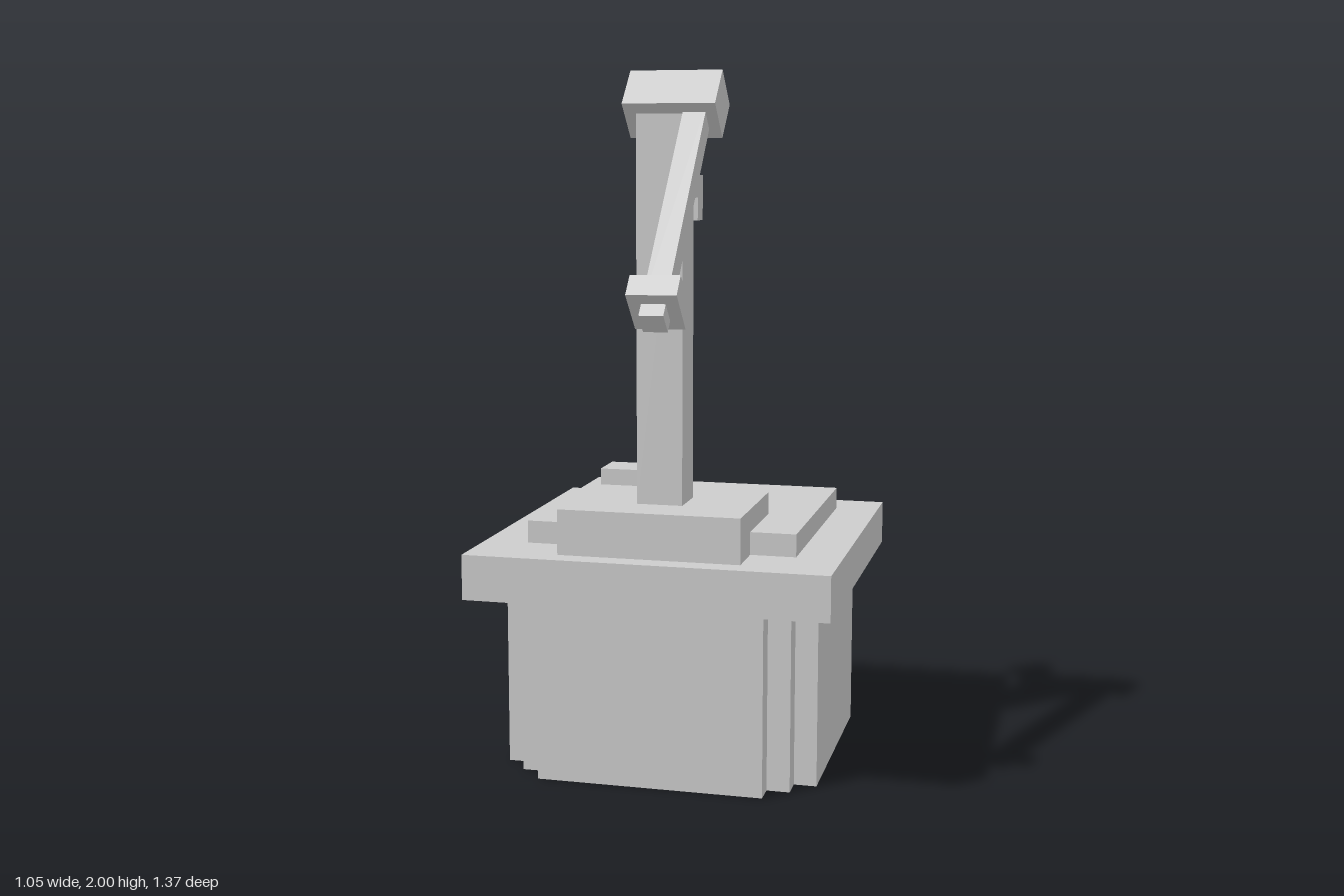
import * as THREE from 'three';

export function createModel() {
  const model = new THREE.Group();
  const grey = new THREE.MeshStandardMaterial({ color: 0xcccccc });
  grey.name = 'light grey';
  grey.flatShading = true;

  const add = (name, geometry, parent = model) => {
    const mesh = new THREE.Mesh(geometry, grey);
    mesh.name = name;
    parent.add(mesh);
    return mesh;
  };
  // box given by its lower and upper bounds on each axis
  const box = (name, [x0, x1], [y0, y1], [z0, z1], parent = model) => {
    const mesh = add(name, new THREE.BoxGeometry(x1 - x0, y1 - y0, z1 - z0), parent);
    mesh.position.set((x0 + x1) / 2, (y0 + y1) / 2, (z0 + z1) / 2);
    return mesh;
  };

  // well body: a block with two-step notched corners
  const [a, b, c] = [0.327, 0.393, 0.458];
  const quarter = [[c, -a], [c, a], [b, a], [b, b], [a, b], [a, c]];
  const outline = [
    ...quarter.slice(1),
    ...quarter.slice(1).reverse().map(([x, y]) => [-x, y]),
    ...quarter.slice(1).map(([x, y]) => [-x, -y]),
    ...quarter.slice(1).reverse().map(([x, y]) => [x, -y]),
  ].map(([x, y]) => new THREE.Vector2(x, y));
  const body = new THREE.ExtrudeGeometry(new THREE.Shape(outline), { depth: 0.53, bevelEnabled: false });
  body.rotateX(-Math.PI / 2);
  add('wellBody', body).position.z = -0.159;

  // slabs on top
  box('topSlab', [-0.523, 0.523], [0.53, 0.66], [-0.684, 0.365]);
  box('coverPlate', [-0.393, 0.393], [0.66, 0.725], [-0.553, 0.168]);
  box('coverHandle', [-0.328, -0.197], [0.725, 0.79], [-0.487, -0.357]);
  box('pumpFoot', [-0.262, 0.262], [0.66, 0.79], [-0.095, 0.3]);

  // pump column with its spout at the back
  box('column', [-0.066, 0.066], [0.79, 1.9], [0.038, 0.168]);
  box('spout', [-0.032, 0.032], [1.645, 1.71], [-0.222, 0.038]);
  box('spoutEnd', [-0.032, 0.032], [1.578, 1.645], [-0.222, -0.158]);

  // pivot head turned by 45 degrees
  const head = add('pivotHead', new THREE.BoxGeometry(0.262, 0.131, 0.131));
  head.position.set(0.032, 1.907, 0.102);
  head.rotation.x = Math.PI / 4;

  // lever sloping down to the front, built along its own z axis
  const lever = new THREE.Group();
  lever.name = 'lever';
  lever.position.set(0.098, 1.907, 0.102);
  lever.rotation.set(Math.PI / 4, 0.0175, 0);
  model.add(lever);
  box('leverArm', [-0.032, 0.032], [-0.032, 0.032], [0, 0.788], lever);
  box('leverGrip', [-0.066, 0.066], [-0.066, 0.066], [0.683, 0.75], lever);

  return model;
}
